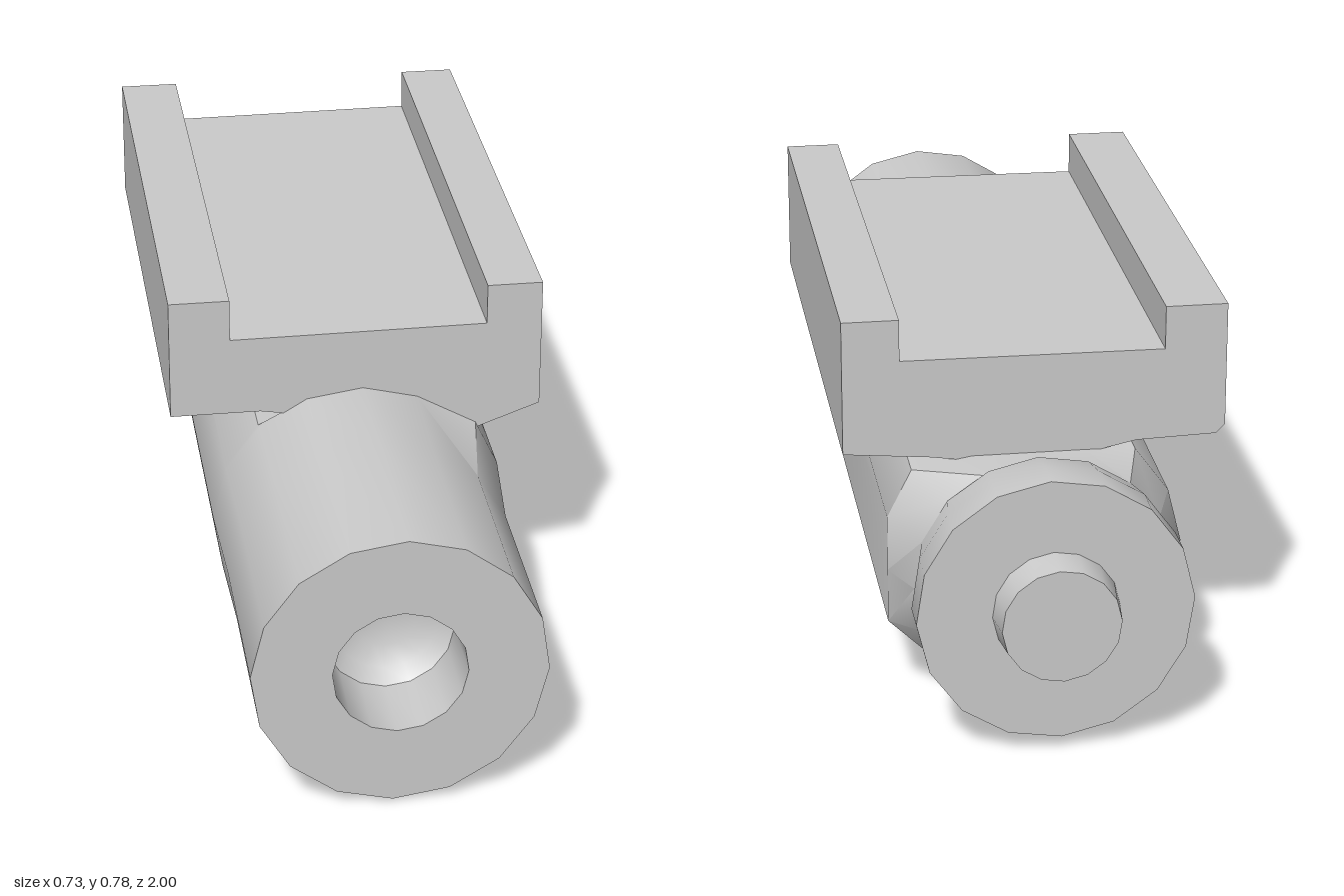
import * as THREE from 'three';
import { toCreasedNormals } from 'three/addons/utils/BufferGeometryUtils.js';

const AXIS_Y = 0.286;
const SIDES = 16;
const material = new THREE.MeshStandardMaterial({ color: 0xcccccc });

function addMesh(group, name, geometry) {
  const mesh = new THREE.Mesh(geometry, material);
  mesh.name = name;
  group.add(mesh);
}

// Turns a [radius, z] profile, listed from back to front, around the z axis
function turned(profile, reshape = () => {}) {
  const points = profile.map(([r, z]) => new THREE.Vector2(r, z));
  const geometry = new THREE.LatheGeometry(points, SIDES, -0.045);
  geometry.rotateX(Math.PI / 2);
  const pos = geometry.attributes.position;
  const v = new THREE.Vector3();
  for (let i = 0; i < pos.count; i++) {
    v.fromBufferAttribute(pos, i);
    reshape(v);
    pos.setXYZ(i, v.x, v.y + AXIS_Y, v.z);
  }
  return toCreasedNormals(geometry, 0.5);
}

// Under the saddle the barrel is flat on top and slightly squared on the +x side
function shapeBarrel(v) {
  if (v.z > 0.42 || v.z < -0.776) return;
  if (v.z > -0.7 && v.x > 0.2 && v.y > -0.15) v.x = Math.min(0.285, v.x * 1.13);
  if (v.z < 0.405) v.y = Math.min(v.y, 0.212);
}

// Saddle: a channel section whose underside changes from front to back
function saddleGeometry() {
  const zFront = 0.412, zBack = -0.676;
  const top = [[0.367, 0.78], [0.258, 0.78], [0.258, 0.698], [-0.248, 0.695], [-0.248, 0.78], [-0.367, 0.78]];
  const front = [...top, [-0.367, 0.535], [-0.19, 0.535], [-0.13, 0.525], [0, 0.45], [0.24, 0.468], [0.367, 0.515]];
  const back = [...top, [-0.367, 0.535], [-0.35, 0.517], [-0.195, 0.512], [0, 0.47], [0.2, 0.5], [0.367, 0.515]];
  const shape = new THREE.Shape(front.map(([x, y]) => new THREE.Vector2(x, y)));
  const geometry = new THREE.ExtrudeGeometry(shape, { depth: 1, bevelEnabled: false });
  const pos = geometry.attributes.position;
  for (let i = 0; i < pos.count; i++) {
    const x = pos.getX(i), y = pos.getY(i);
    if (pos.getZ(i) > 0.5) {
      pos.setZ(i, zFront);
    } else {
      const k = front.findIndex((p) => Math.hypot(p[0] - x, p[1] - y) < 1e-4);
      pos.setXYZ(i, back[k][0], back[k][1], zBack);
    }
  }
  return toCreasedNormals(geometry, 0.2);
}

export function createModel() {
  const model = new THREE.Group();
  model.name = 'railMountedTube';

  // Barrel with its rear collar and the recessed bore in front
  addMesh(model, 'barrel', turned([
    [0, -0.932], [0.262, -0.932], [0.262, -0.86], [0.246, -0.778],
    [0.246, -0.775], [0.285, -0.68], [0.287, 0.4], [0.287, 0.412],
    [0.281, 0.62], [0.281, 1], [0.128, 1], [0.126, 0.85],
    [0.1, 0.825], [0.06, 0.808], [0, 0.8],
  ], shapeBarrel));

  addMesh(model, 'rearButton', turned([[0, -1], [0.112, -1], [0.12, -0.93]]));
  addMesh(model, 'saddle', saddleGeometry());

  return model;
}
